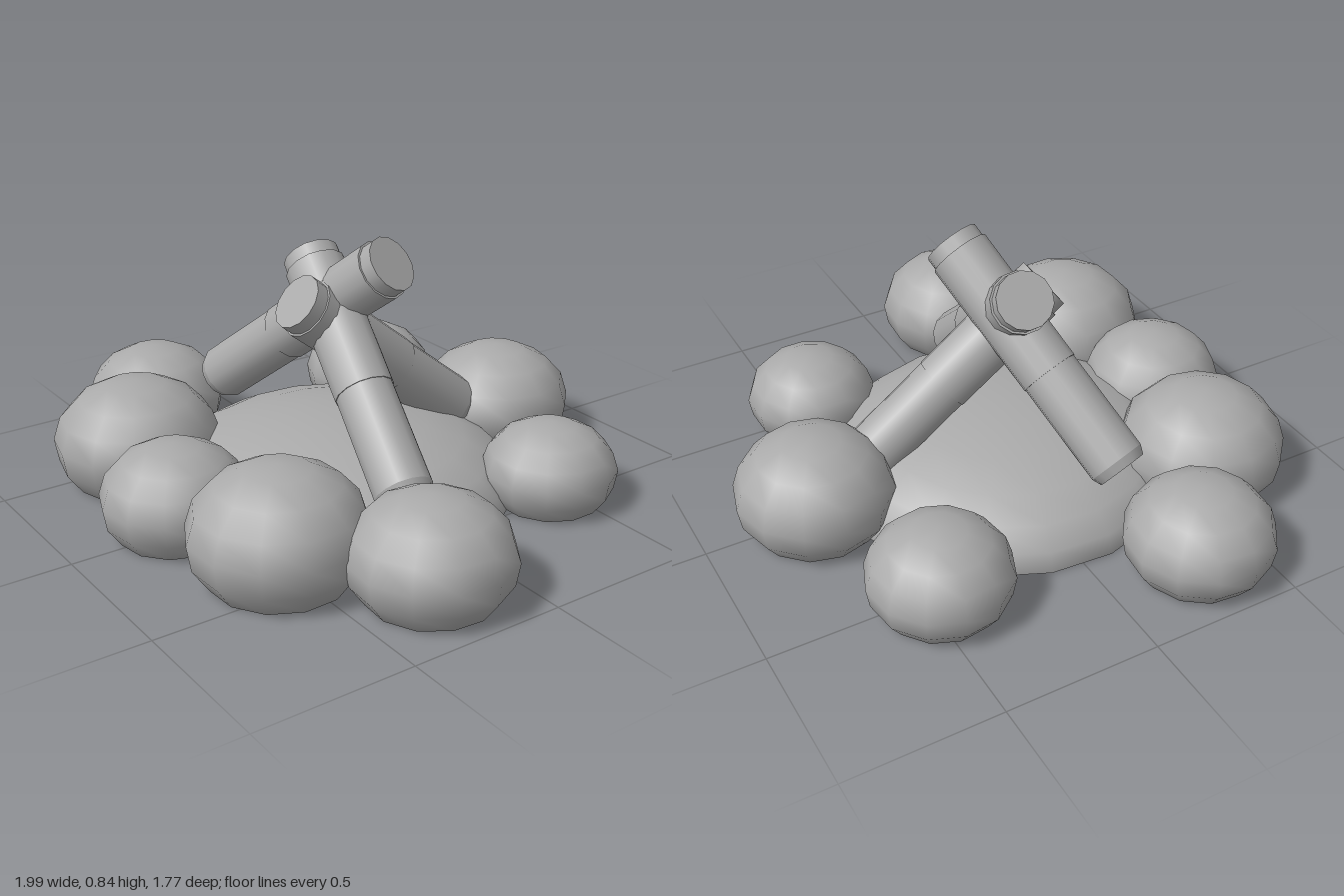
import * as THREE from 'three';

const stoneGrey = new THREE.MeshStandardMaterial({ color: 0xaaaaaa });
stoneGrey.name = 'stone grey';

function addMesh(parent, geometry, name) {
  const mesh = new THREE.Mesh(geometry, stoneGrey);
  mesh.name = name;
  parent.add(mesh);
  return mesh;
}

// Squashed sphere cut flat at the ground; cut is the polar angle of the cut
function makeMound(name, x, z, radius, height, cut, segments, turn) {
  const group = new THREE.Group();
  group.name = name;
  const b = height / (1 - Math.cos(cut)); // vertical radius
  const shell = new THREE.SphereGeometry(1, segments, 6, 0, Math.PI * 2, 0, cut);
  shell.scale(radius, b, radius);
  shell.translate(0, height - b, 0);
  addMesh(group, shell, name + 'Shell');
  const base = new THREE.CircleGeometry(radius * Math.sin(cut), segments);
  base.rotateX(Math.PI / 2);
  addMesh(group, base, name + 'Base');
  group.position.set(x, 0, z);
  group.rotation.y = turn;
  return group;
}

// Log from its foot to its sawn top, with a seam and a narrower tip
function makeLog(name, foot, top) {
  const group = new THREE.Group();
  group.name = name;
  const a = new THREE.Vector3(...foot);
  const dir = new THREE.Vector3(...top).sub(a);
  const length = dir.length();
  const piece = (part, r0, r1, from, to) => {
    const g = new THREE.CylinderGeometry(r1, r0, to - from, 14);
    g.translate(0, (from + to) / 2, 0);
    addMesh(group, g, part);
  };
  const seam = length * 0.42;
  piece('logFoot', 0.08, 0.093, 0, 0.03);
  piece('lowerLog', 0.093, 0.093, 0.03, seam);
  piece('upperLog', 0.096, 0.099, seam, length - 0.045);
  piece('logTip', 0.092, 0.092, length - 0.045, length);
  group.position.copy(a);
  group.quaternion.setFromUnitVectors(new THREE.Vector3(0, 1, 0), dir.normalize());
  return group;
}

export function createModel() {
  const model = new THREE.Group();
  model.name = 'campfire';

  // Ash mound in the middle
  model.add(makeMound('ashMound', -0.02, 0.04, 0.59, 0.24, Math.PI / 2, 18, 0.1));

  // Ring of stones: x, z, radius, height
  const stones = [
    [-0.02, -0.635, 0.257, 0.33],
    [-0.535, -0.46, 0.229, 0.29],
    [0.487, -0.43, 0.217, 0.27],
    [-0.765, 0.305, 0.238, 0.3],
    [-0.415, 0.56, 0.272, 0.345],
    [0, 0.65, 0.232, 0.3],
    [0.412, 0.54, 0.275, 0.36],
    [0.745, 0.25, 0.252, 0.32],
  ];
  stones.forEach(([x, z, r, h], i) => {
    model.add(makeMound('stone' + (i + 1), x, z, r, h, 2.27, 12, i * 0.4));
  });

  // Three logs leaning together
  model.add(makeLog('rightLog', [-0.52, 0.24, 0.18], [0.15, 0.77, -0.05]));
  model.add(makeLog('leftLog', [0.49, 0.16, 0.14], [-0.19, 0.72, 0.02]));
  model.add(makeLog('backLog', [0.015, 0.16, -0.43], [-0.025, 0.645, 0.185]));

  return model;
}
